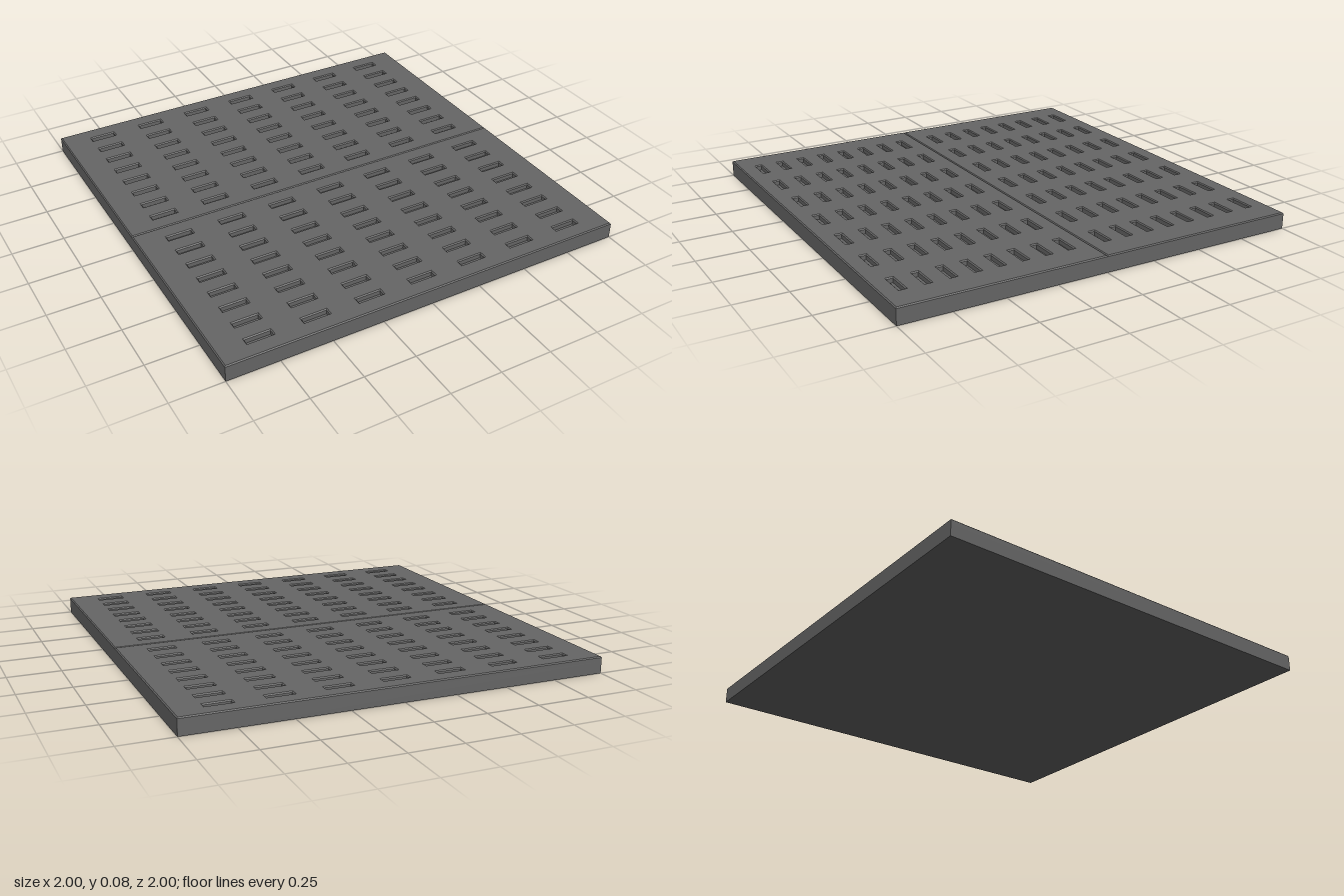
import * as THREE from 'three';

const BEVEL = 0.005;

function rectangle(target, cx, cy, w, h) {
  target.moveTo(cx - w / 2, cy - h / 2);
  target.lineTo(cx + w / 2, cy - h / 2);
  target.lineTo(cx + w / 2, cy + h / 2);
  target.lineTo(cx - w / 2, cy + h / 2);
  target.closePath();
  return target;
}

// Half of the top plate, pierced by a 7 x 8 grid of slots with chamfered rims
function slottedPanel() {
  const shape = rectangle(new THREE.Shape(), 0, 0.5, 2, 1);
  for (let col = -3; col <= 3; col++) {
    for (let row = 0; row < 8; row++) {
      const cy = 0.095 + row * 0.1157;
      shape.holes.push(rectangle(new THREE.Path(), col * 0.2667, cy, 0.122, 0.03));
    }
  }
  const geometry = new THREE.ExtrudeGeometry(shape, {
    depth: 0.02,
    bevelEnabled: true,
    bevelThickness: BEVEL,
    bevelSize: BEVEL,
    bevelOffset: -BEVEL,
    bevelSegments: 1,
  });
  return geometry.rotateX(-Math.PI / 2);
}

export function createModel() {
  const group = new THREE.Group();
  group.name = 'slottedFloorTile';
  const grey = new THREE.MeshStandardMaterial({ color: 0x666666 });
  grey.name = 'darkGrey';

  // Solid slab that closes the slots from below
  const base = new THREE.Mesh(new THREE.BoxGeometry(2, 0.055, 2), grey);
  base.name = 'baseSlab';
  base.position.y = 0.0275;
  group.add(base);

  // Two panels meeting in a V groove along the middle
  const geometry = slottedPanel();
  for (const [name, turn] of [['backPanel', 0], ['frontPanel', Math.PI]]) {
    const panel = new THREE.Mesh(geometry, grey);
    panel.name = name;
    panel.position.y = 0.055;
    panel.rotation.y = turn;
    group.add(panel);
  }
  return group;
}
